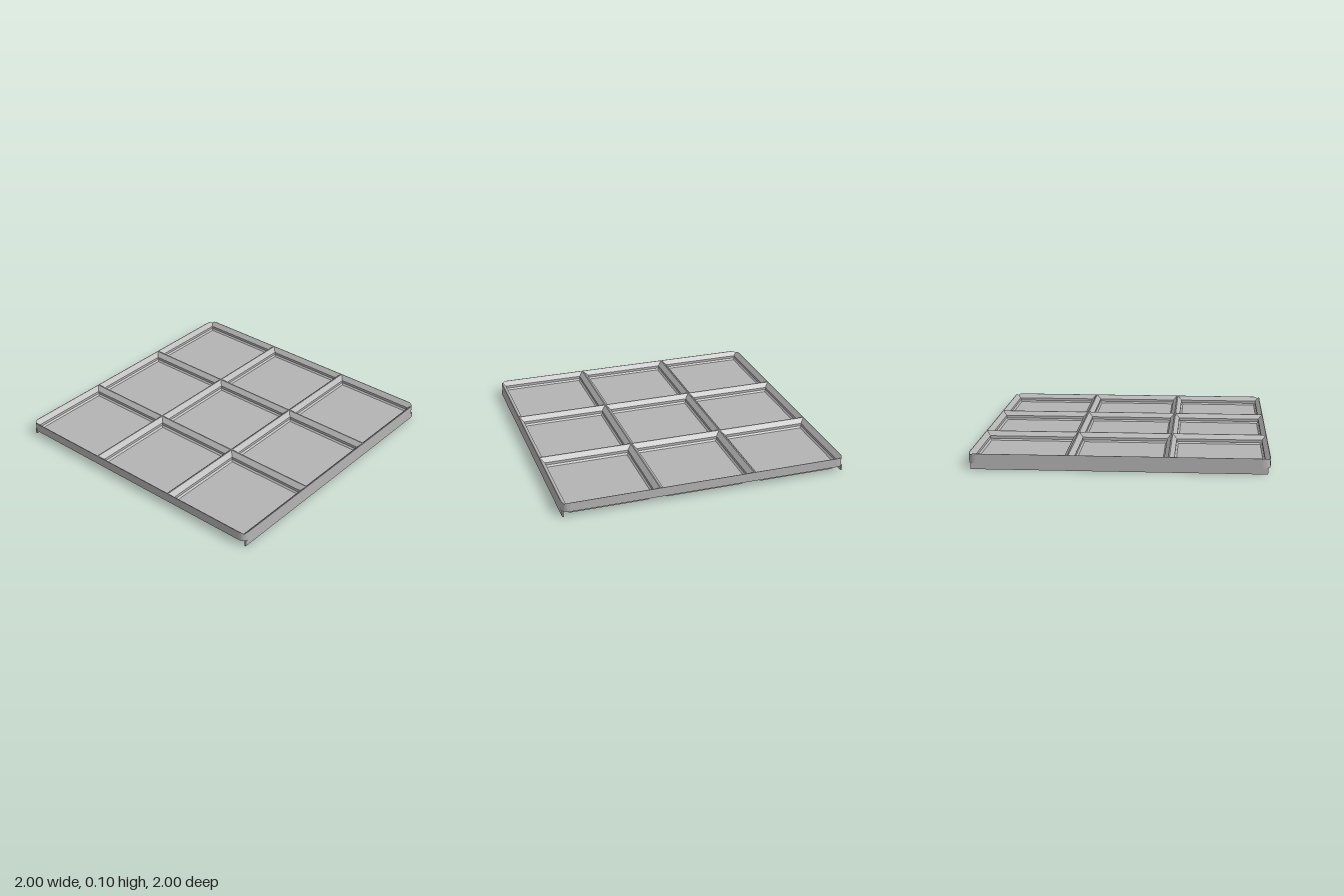
import * as THREE from 'three';

const TOP = 0.105, UNDER = 0.04, FLOOR = 0.045, PITCH = 2 / 3;
const RADIUS = 0.05, RIDGE = 0.004;

// Square ring of points around (cx, cz); the tray's outer corners are rounded off.
function ring(cx, cz, h, y, followRim) {
  const ends = [0, 0.008, 0.017, 0.03, RADIUS].map((o) => Math.max(0, h - o));
  const ts = [...ends.map((t) => -t), ...ends.slice(1).reverse()];
  const points = [];
  for (let k = 0; k < 4; k++) {
    for (const t of ts) {
      let [x, z] = [[t, h], [h, -t], [-t, -h], [-h, t]][k];
      x += cx;
      z += cz;
      let py = y;
      const c = 1 - RADIUS;
      const dx = Math.abs(x) - c, dz = Math.abs(z) - c;
      const len = Math.hypot(dx, dz);
      if (dx > 0 && dz > 0 && len > RADIUS) {
        x = Math.sign(x) * (c + (dx * RADIUS) / len);
        z = Math.sign(z) * (c + (dz * RADIUS) / len);
        // The sloped rim dips where the corner is rounded
        const inset = 1 - Math.max(Math.abs(x), Math.abs(z));
        if (followRim) py = Math.min(y, TOP - Math.max(0, inset - RIDGE));
      }
      points.push([x, py, z]);
    }
  }
  return points;
}

// Faceted skin between successive rings
function loft(rings) {
  const pos = [];
  for (let r = 0; r < rings.length - 1; r++) {
    const a = rings[r], b = rings[r + 1], n = a.length;
    for (let i = 0; i < n; i++) {
      const j = (i + 1) % n;
      pos.push(...a[i], ...a[j], ...b[i], ...a[j], ...b[j], ...b[i]);
    }
  }
  const g = new THREE.BufferGeometry();
  g.setAttribute('position', new THREE.Float32BufferAttribute(pos, 3));
  g.computeVertexNormals();
  return g;
}

function rectangle(PathType, x0, y0, x1, y1) {
  return new PathType([[x0, y0], [x1, y0], [x1, y1], [x0, y1]].map((p) => new THREE.Vector2(...p)));
}

// Raised pad for the underside with one long and one short slot
function padGeometry() {
  const s = 0.2725;
  const shape = rectangle(THREE.Shape, -s, -s, s, s);
  shape.holes.push(
    rectangle(THREE.Path, -0.14, 0.225, 0.14, 0.25),
    rectangle(THREE.Path, -0.225, -0.08, -0.2, 0.08),
  );
  const g = new THREE.ExtrudeGeometry(shape, { depth: UNDER, bevelEnabled: false });
  g.rotateX(Math.PI / 2); // shape y becomes +z
  g.translate(0, UNDER, 0);
  return g;
}

export function createModel() {
  const model = new THREE.Group();
  const grey = new THREE.MeshStandardMaterial({ color: 0xb4b4b4 });
  grey.name = 'grey';
  const add = (name, geometry, x = 0, y = 0, z = 0) => {
    const mesh = new THREE.Mesh(geometry, grey);
    mesh.name = name;
    mesh.position.set(x, y, z);
    model.add(mesh);
    return mesh;
  };

  // Underside and outer wall of the tray
  add('trayBody', loft([
    ring(0, 0, 0, UNDER, false),
    ring(0, 0, 1, UNDER, false),
    ring(0, 0, 1, TOP, true),
  ]));

  // Nine wells: ridge, slope, upright wall, small foot chamfer, floor
  const profile = [[0, TOP], [RIDGE, TOP], [0.034, 0.075], [0.034, 0.056], [0.045, FLOOR], [PITCH / 2, FLOOR]];
  const pad = padGeometry();
  for (const i of [-1, 0, 1]) {
    for (const j of [-1, 0, 1]) {
      add('well', loft(profile.map(([d, y]) => ring(i * PITCH, j * PITCH, PITCH / 2 - d, y, true))));
      const p = add('bottomPad', pad, i * 0.6725, 0, j * 0.6725);
      if (i === -1) p.rotation.y = Math.PI; // this column's slots face the other way
    }
  }

  // Small round pins between the pads
  const pin = new THREE.CylinderGeometry(0.02, 0.02, UNDER, 20);
  const pins = [
    [0.91, -0.337], [0.91, 0.337], [-0.91, -0.337], [-0.91, 0.337],
    [-0.337, -0.91], [-0.337, 0.91], [0.337, -0.337], [-0.337, 0.337],
  ];
  for (const [x, z] of pins) add('pin', pin, x, UNDER / 2, z);

  // Thin lips below the front and back edges
  const lip = new THREE.BoxGeometry(1.965, UNDER, 0.012);
  for (const s of [-1, 1]) add('edgeLip', lip, 0, UNDER / 2, s * 0.993);

  return model;
}
